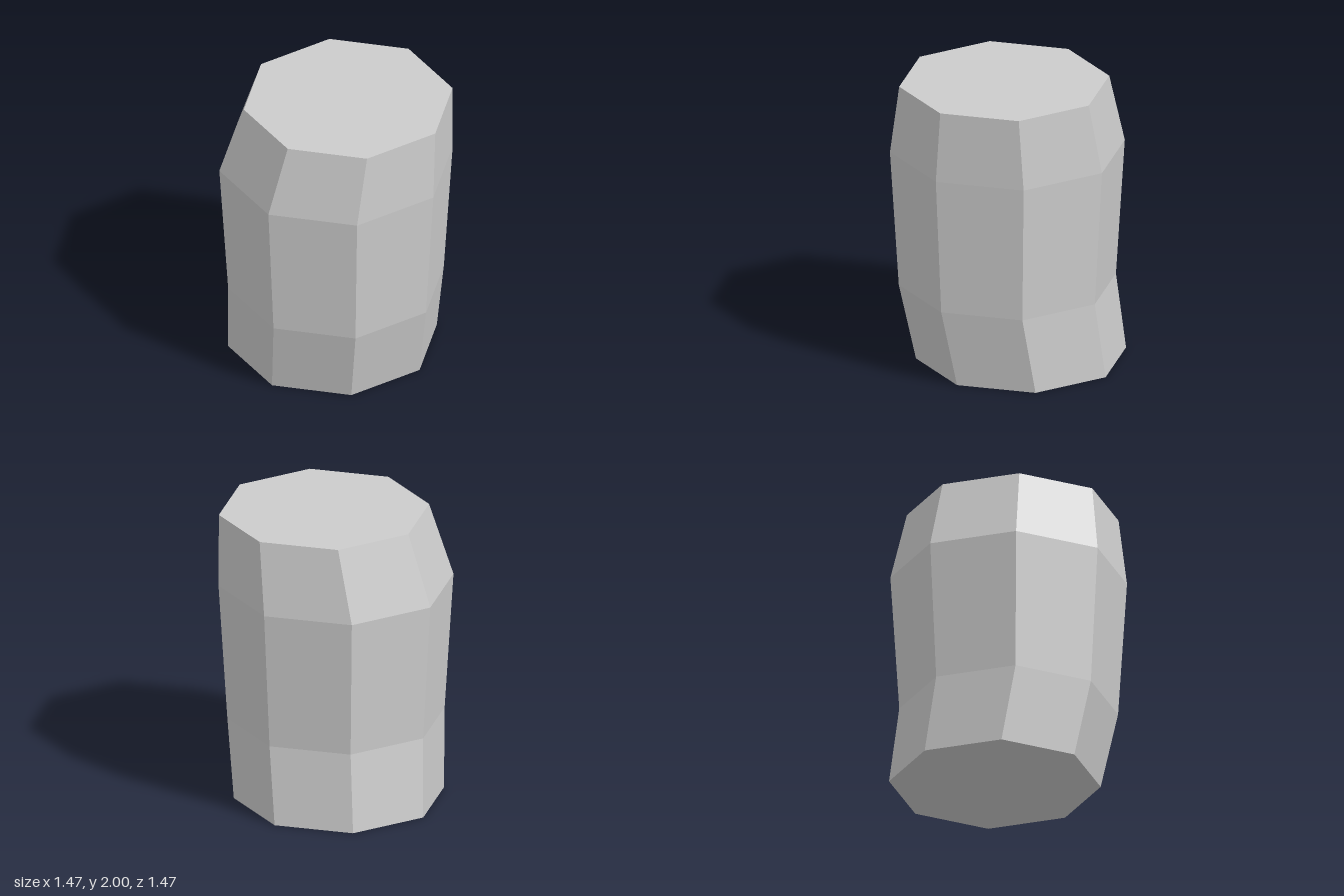
import * as THREE from 'three';

// Octagonal rings from bottom to top: height, radius to flats, centre x and z
const RINGS = [
  { y: 0, r: 0.653, x: -0.045, z: -0.08 },
  { y: 0.54, r: 0.675, x: -0.003, z: 0.003 },
  { y: 1.5, r: 0.73, x: -0.003, z: 0.003 },
  { y: 2, r: 0.653, x: 0.08, z: 0.003 },
];

export function createModel() {
  const group = new THREE.Group();
  group.name = 'leaningOctagonalColumn';

  const stone = new THREE.MeshStandardMaterial({ color: 0xcccccc });
  stone.name = 'light grey';

  // Unit cylinder with flats facing the axes; each level is moved to its ring
  const levels = RINGS.length - 1;
  const corner = 1 / Math.cos(Math.PI / 8);
  const cylinder = new THREE.CylinderGeometry(corner, corner, levels, 8, levels, false, Math.PI / 8);
  const pos = cylinder.attributes.position;
  for (let i = 0; i < pos.count; i++) {
    const ring = RINGS[Math.round(pos.getY(i) + levels / 2)];
    pos.setXYZ(i, pos.getX(i) * ring.r + ring.x, ring.y, pos.getZ(i) * ring.r + ring.z);
  }

  // Separate faces give hard facets
  const geometry = cylinder.toNonIndexed();
  geometry.computeVertexNormals();

  const column = new THREE.Mesh(geometry, stone);
  column.name = 'column';
  group.add(column);
  return group;
}
